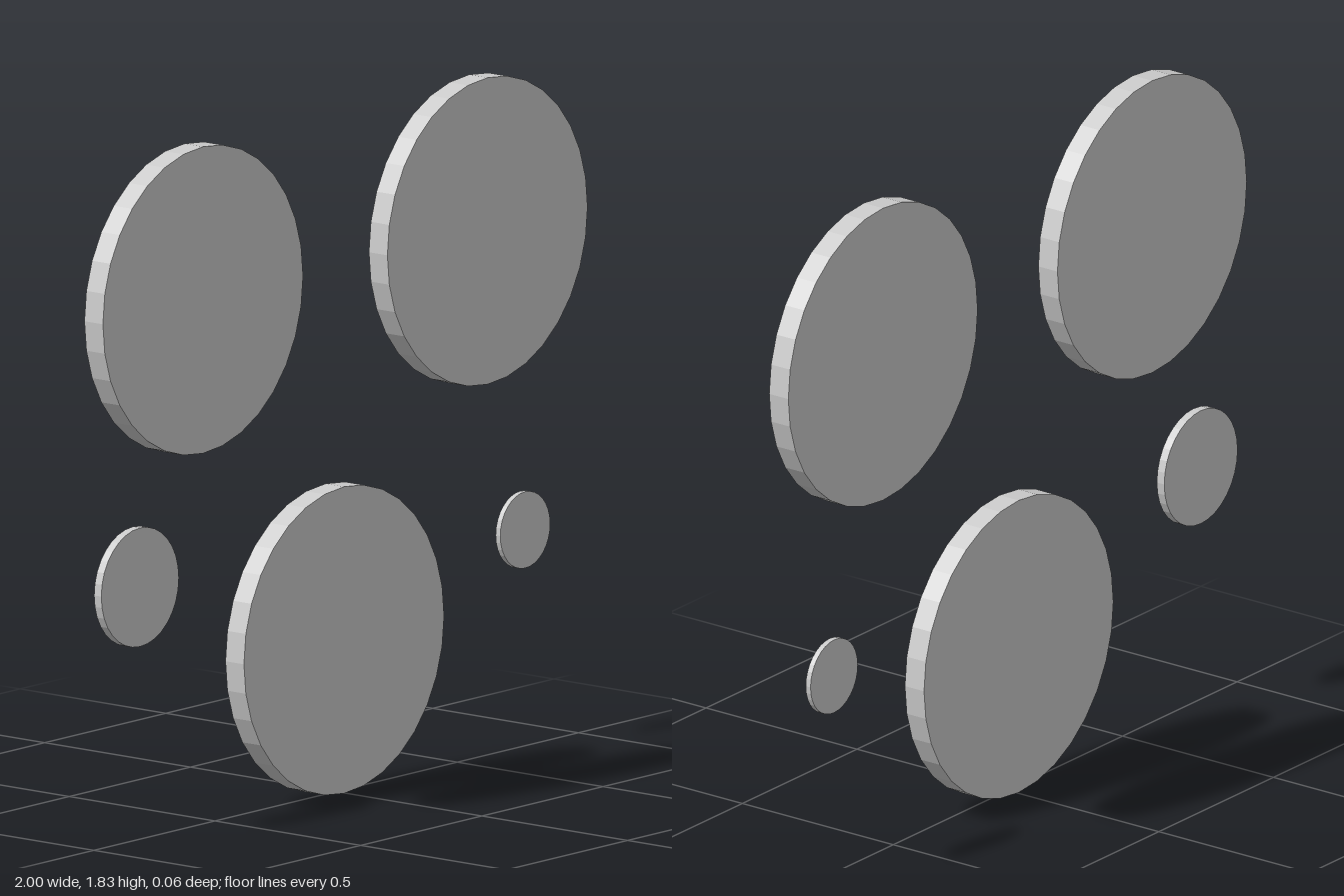
import * as THREE from 'three';

const BACK_Z = -0.032;          // all discs share one back plane
const DEPTH_PER_RADIUS = 0.153; // every disc is a scaled copy of the same coin

const DISCS = [
  { name: 'upperRightDisc', x: -0.587, y: 1.425, r: 0.413 },
  { name: 'upperLeftDisc', x: 0.587, y: 1.425, r: 0.413 },
  { name: 'lowerCentreDisc', x: -0.005, y: 0.417, r: 0.413 },
  { name: 'mediumSideDisc', x: -0.8, y: 0.68, r: 0.16 },
  { name: 'smallSideDisc', x: 0.8, y: 0.58, r: 0.103 },
];

export function createModel() {
  const model = new THREE.Group();
  model.name = 'discs';
  const material = new THREE.MeshStandardMaterial({ color: 0xcccccc, flatShading: true });

  for (const { name, x, y, r } of DISCS) {
    // 32-sided coin facing the front
    const depth = r * DEPTH_PER_RADIUS;
    const geometry = new THREE.CylinderGeometry(r, r, depth, 32);
    geometry.rotateX(Math.PI / 2);
    const disc = new THREE.Mesh(geometry, material);
    disc.name = name;
    disc.position.set(x, y, BACK_Z + depth / 2);
    model.add(disc);
  }
  return model;
}
